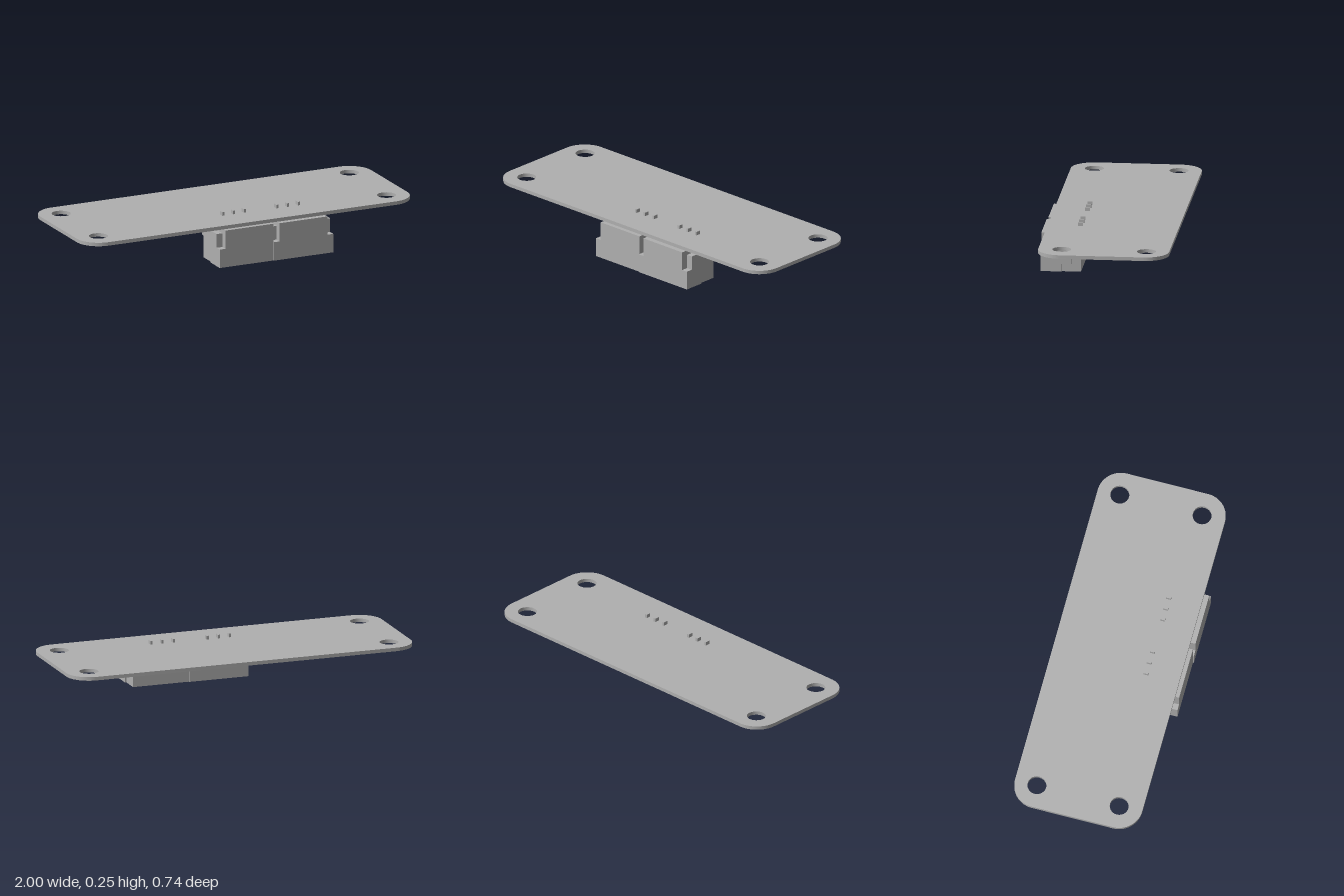
import * as THREE from 'three';
import { toCreasedNormals } from 'three/addons/utils/BufferGeometryUtils.js';

const grey = new THREE.MeshStandardMaterial({ color: 0xb0b0b0 });
grey.name = 'light grey';

function add(parent, name, geometry, x = 0, y = 0, z = 0) {
  const mesh = new THREE.Mesh(geometry, grey);
  mesh.name = name;
  mesh.position.set(x, y, z);
  parent.add(mesh);
  return mesh;
}

const polygon = (points) => new THREE.Shape(points.map(([a, b]) => new THREE.Vector2(a, b)));

// Plan outline (x, -z) raised along y
function raise(shape, height) {
  const g = new THREE.ExtrudeGeometry(shape, { depth: height, bevelEnabled: false, curveSegments: 12 });
  g.rotateX(-Math.PI / 2);
  return toCreasedNormals(g, 0.5);
}

// Side outline (z, y) extended from x0 to x1
function across(shape, x0, x1) {
  const g = new THREE.ExtrudeGeometry(shape, { depth: x1 - x0, bevelEnabled: false, curveSegments: 6 });
  g.rotateY(-Math.PI / 2);
  g.translate(x1, 0, 0);
  return toCreasedNormals(g, 0.5);
}

// Board with rounded corners and four mounting holes
function boardShape() {
  const s = new THREE.Shape(), r = 0.13, back = 0.372, front = -0.345;
  s.moveTo(-1 + r, front);
  s.lineTo(1 - r, front);
  s.absarc(1 - r, front + r, r, -Math.PI / 2, 0, false);
  s.absarc(1 - r, back - r, r, 0, Math.PI / 2, false);
  s.absarc(-1 + r, back - r, r, Math.PI / 2, Math.PI, false);
  s.absarc(-1 + r, front + r, r, Math.PI, Math.PI * 1.5, false);
  for (const x of [-0.872, 0.872]) {
    for (const y of [0.248, -0.216]) {
      const hole = new THREE.Path();
      hole.absarc(x, y, 0.052, 0, Math.PI * 2, true);
      s.holes.push(hole);
    }
  }
  return s;
}

// Three-way socket, open at the bottom
function makeConnector() {
  const c = new THREE.Group();
  const inner = 0.145;

  // Walls around the mouth, with two key slots in the front wall
  const walls = polygon([[-inner, -0.372], [inner, -0.372], [inner, -0.152], [-inner, -0.152]]);
  walls.holes.push(polygon([
    [-0.135, -0.18], [0.135, -0.18], [0.135, -0.325], [0.085, -0.325], [0.085, -0.35],
    [0.055, -0.35], [0.055, -0.325], [-0.055, -0.325], [-0.055, -0.35], [-0.085, -0.35],
    [-0.085, -0.325], [-0.135, -0.325]]));
  add(c, 'socketWalls', raise(walls, 0.15));

  // Closed top, stepped down at the rear for the pins
  const cap = polygon([[0.152, 0.15], [0.372, 0.15], [0.372, 0.209], [0.205, 0.209],
    [0.205, 0.183], [0.152, 0.183]]);
  add(c, 'socketTop', across(cap, -inner, inner));

  // End walls: slotted at the front, shallow relief low at the rear
  const upper = [[0.372, 0.105], [0.333, 0.105], [0.333, 0.183], [0.27, 0.183],
    [0.27, 0.209], [0.205, 0.209], [0.205, 0.183], [0.152, 0.183]];
  const endInner = polygon([[0.152, 0], [0.372, 0], ...upper]);
  const endOuter = polygon([[0.257, 0], [0.372, 0], ...upper,
    [0.152, 0.13], [0.205, 0.13], [0.205, 0.043], [0.257, 0.043]]);
  for (const side of [-1, 1]) {
    const span = (a, b) => (side > 0 ? [a, b] : [-b, -a]);
    add(c, 'endWall', across(endInner, ...span(inner, 0.172)));
    add(c, 'endWallSkin', across(endOuter, ...span(0.172, 0.18)));
  }

  // Bent solder pins and the straight contacts inside the mouth
  const pin = new THREE.Shape();
  pin.moveTo(0.152, 0.25);
  pin.lineTo(0.152, 0.198);
  pin.absarc(0.167, 0.198, 0.015, Math.PI, Math.PI * 1.5, false);
  pin.lineTo(0.21, 0.183);
  pin.lineTo(0.21, 0.208);
  pin.lineTo(0.179, 0.208);
  pin.lineTo(0.179, 0.25);
  for (const x of [-0.065, 0, 0.065]) {
    add(c, 'solderPin', across(pin, x - 0.006, x + 0.006));
    add(c, 'contact', new THREE.BoxGeometry(0.016, 0.13, 0.022), x, 0.09, 0.25);
  }
  return c;
}

export function createModel() {
  const model = new THREE.Group();
  model.name = 'circuitBoard';
  add(model, 'board', raise(boardShape(), 0.02), 0, 0.21, 0);

  // Pair of sockets side by side
  [[-0.03, -0.005], [0.295, 0]].forEach(([x, z], i) => {
    const c = makeConnector();
    c.name = i ? 'leftSocket' : 'rightSocket';
    c.position.set(x, 0, z);
    model.add(c);
  });

  // Row of small components on the underside
  for (let i = 0; i < 8; i++) {
    add(model, 'chip', new THREE.BoxGeometry(0.04, 0.016, 0.08), -0.42 + i * 0.137, 0.203, -0.113);
  }
  return model;
}
